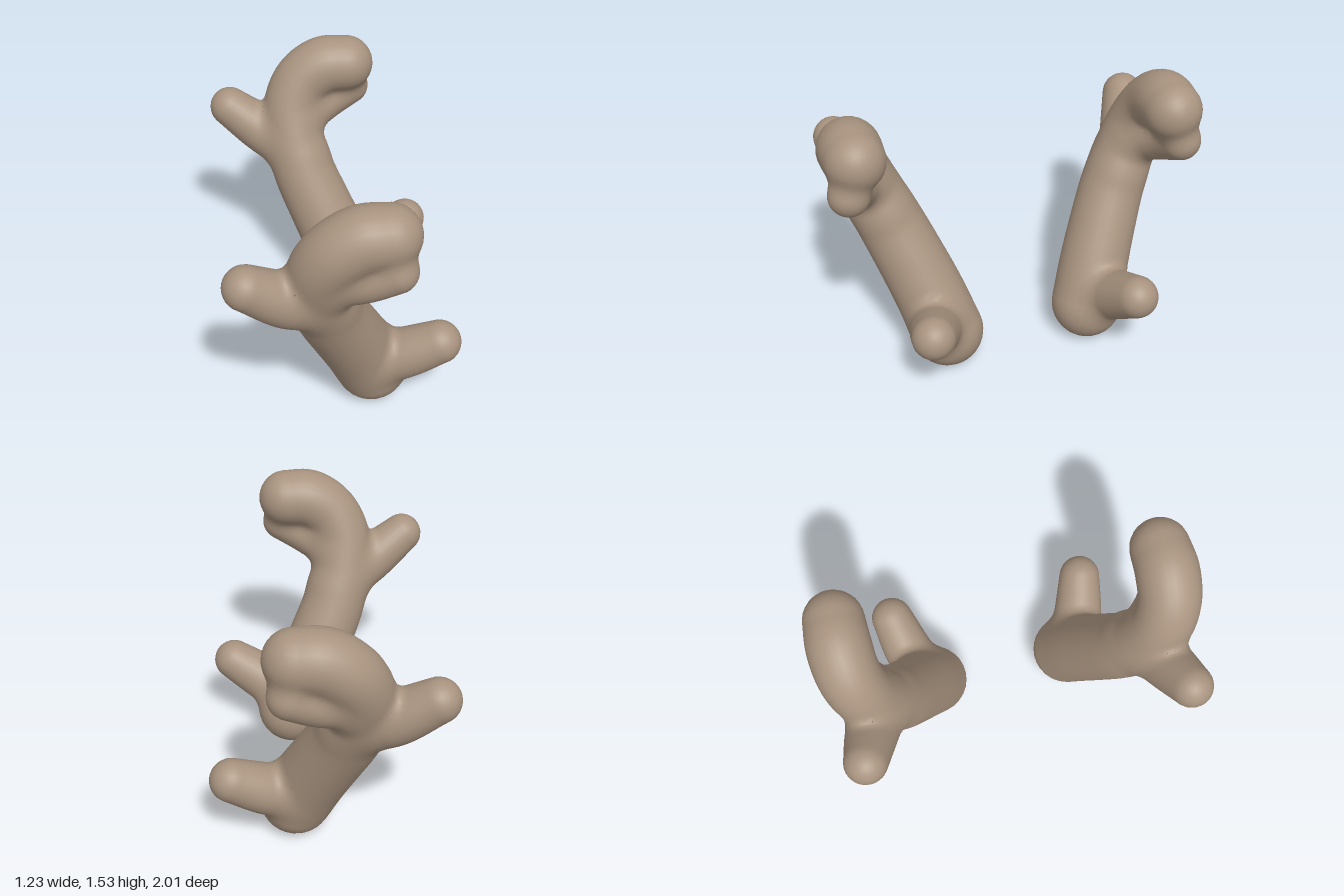
import * as THREE from 'three';

const BLEND = 0.06; // softness of the joins between branches

// Each branch: rows of x, y, z, radius along its centre line
const BRANCHES = {
  mainBeam: [
    [0.16, 0.2, 0.41, 0.199], [0.075, 0.4, 0.475, 0.193], [-0.015, 0.6, 0.553, 0.186],
    [-0.1, 0.8, 0.637, 0.179], [-0.147, 0.98, 0.715, 0.169], [-0.15, 1.15, 0.785, 0.163],
    [-0.085, 1.285, 0.828, 0.162], [0.035, 1.368, 0.84, 0.163], [0.165, 1.378, 0.838, 0.155],
  ],
  lowerTine: [
    [0.13, 0.25, 0.43, 0.14], [0.31, 0.345, 0.508, 0.138], [0.497, 0.455, 0.562, 0.116],
  ],
  outerTine: [
    [-0.1, 0.88, 0.67, 0.13], [-0.3, 0.985, 0.775, 0.138], [-0.507, 1.132, 0.84, 0.112],
  ],
  upperTine: [
    [-0.1, 1.08, 0.77, 0.125], [0.06, 1.145, 0.85, 0.115], [0.195, 1.205, 0.886, 0.107],
  ],
};

// Smooth centre line with a radius at every sample
function sampleBranch(rows, side) {
  const n = 60;
  const curve = new THREE.CatmullRomCurve3(rows.map(([x, y, z]) => new THREE.Vector3(x, y, z * side)));
  const radii = new THREE.CatmullRomCurve3(rows.map((r, i) => new THREE.Vector3(i, r[3], 0)));
  const points = [], radius = [];
  for (let i = 0; i <= n; i++) {
    points.push(curve.getPoint(i / n));
    radius.push(radii.getPoint(i / n).y);
  }
  // Frames follow the same even parameter as the points
  curve.getTangentAt = curve.getTangent;
  return { points, radius, frames: curve.computeFrenetFrames(n, false), n };
}

// Softly merged distance to all the branches
function distance(p, branches) {
  let f = Infinity;
  for (const b of branches) {
    let d = Infinity;
    b.points.forEach((c, i) => { d = Math.min(d, p.distanceTo(c) - b.radius[i]); });
    if (f === Infinity) { f = d; continue; }
    const h = Math.max(BLEND - Math.abs(f - d), 0) / BLEND;
    f = Math.min(f, d) - h * h * BLEND / 4;
  }
  return f;
}

function gradient(p, branches) {
  const e = 0.006, g = new THREE.Vector3(), q = new THREE.Vector3();
  for (const axis of ['x', 'y', 'z']) {
    q.copy(p); q[axis] += e;
    const a = distance(q, branches);
    q[axis] -= 2 * e;
    g[axis] = a - distance(q, branches);
  }
  return g.normalize();
}

// Round-ended sweep whose skin is drawn out onto the merged surface
function branchGeometry(b, branches) {
  const around = 28, cap = 8, rings = [];
  for (let i = 0; i < cap; i++) {
    const a = (i / cap) * Math.PI / 2;
    rings.push([0, -Math.cos(a), Math.sin(a)]);
  }
  for (let i = 0; i <= b.n; i++) rings.push([i, 0, 1]);
  for (let i = cap - 1; i >= 0; i--) {
    const a = (i / cap) * Math.PI / 2;
    rings.push([b.n, Math.cos(a), Math.sin(a)]);
  }
  const pos = [], nor = [], index = [];
  rings.forEach(([k, along, out], i) => {
    for (let j = 0; j <= around; j++) {
      const t = (j / around) * Math.PI * 2, r = b.radius[k];
      const p = b.points[k].clone()
        .addScaledVector(b.frames.tangents[k], along * r)
        .addScaledVector(b.frames.normals[k], Math.cos(t) * out * r)
        .addScaledVector(b.frames.binormals[k], Math.sin(t) * out * r);
      for (let s = 0; s < 3; s++) {
        const f = distance(p, branches);
        if (f < -BLEND * 0.35) break; // buried inside another branch
        p.addScaledVector(gradient(p, branches), -f);
      }
      pos.push(...p.toArray());
      nor.push(...gradient(p, branches).toArray());
      if (i && j) {
        const d = i * (around + 1) + j, c = d - 1, u = d - around - 1, v = u - 1;
        index.push(v, u, d, v, d, c);
      }
    }
  });
  const g = new THREE.BufferGeometry();
  g.setAttribute('position', new THREE.Float32BufferAttribute(pos, 3));
  g.setAttribute('normal', new THREE.Float32BufferAttribute(nor, 3));
  g.setIndex(index);
  return g;
}

export function createModel() {
  const model = new THREE.Group();
  model.name = 'antlers';
  const antlerBrown = new THREE.MeshStandardMaterial({ color: 0xa8937f });
  antlerBrown.name = 'antlerBrown';

  // Mirrored pair
  for (const side of [1, -1]) {
    const antler = new THREE.Group();
    antler.name = side > 0 ? 'frontAntler' : 'backAntler';
    const names = Object.keys(BRANCHES);
    const branches = names.map((n) => sampleBranch(BRANCHES[n], side));
    branches.forEach((b, i) => {
      const mesh = new THREE.Mesh(branchGeometry(b, branches), antlerBrown);
      mesh.name = names[i];
      antler.add(mesh);
    });
    model.add(antler);
  }
  return model;
}
